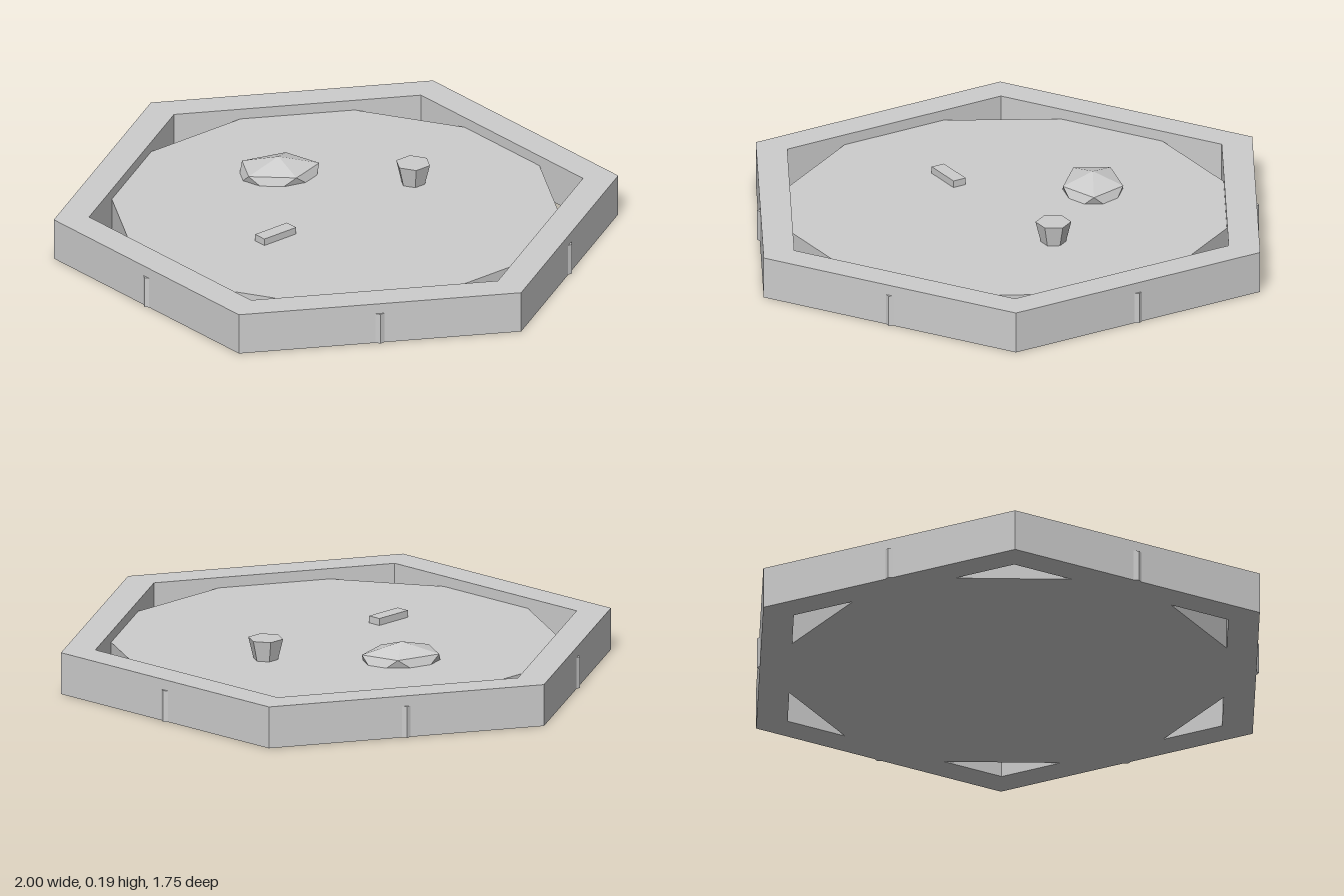
import * as THREE from 'three';

const WALL_HEIGHT = 0.15;
const FLOOR_HEIGHT = 0.1125;

// Closed hexagon path with corners on the x axis
function hexagon(PathType, radius) {
  const points = [];
  for (let i = 0; i < 6; i++) {
    const a = (i * Math.PI) / 3;
    points.push(new THREE.Vector2(radius * Math.cos(a), radius * Math.sin(a)));
  }
  return new PathType(points);
}

// Split shared corners so every face is flat
function faceted(geometry) {
  const flat = geometry.index ? geometry.toNonIndexed() : geometry;
  flat.computeVertexNormals();
  return flat;
}

export function createModel() {
  const model = new THREE.Group();
  model.name = 'hexagonalTray';
  const grey = new THREE.MeshStandardMaterial({ color: 0xcccccc });
  grey.name = 'lightGrey';

  const add = (name, geometry, x = 0, y = 0, z = 0) => {
    const mesh = new THREE.Mesh(faceted(geometry), grey);
    mesh.name = name;
    mesh.position.set(x, y, z);
    model.add(mesh);
    return mesh;
  };

  // Hexagonal rim wall
  const rimShape = hexagon(THREE.Shape, 1);
  rimShape.holes.push(hexagon(THREE.Path, 0.875));
  const rim = new THREE.ExtrudeGeometry(rimShape, { depth: WALL_HEIGHT, bevelEnabled: false });
  rim.rotateX(-Math.PI / 2);
  add('rimWall', rim);

  // Floor turned 30 degrees from the rim, its corners poking through the wall
  add('floor', new THREE.CylinderGeometry(0.875, 0.875, FLOOR_HEIGHT, 6), 0, FLOOR_HEIGHT / 2, 0);

  // Flattened rock, one corner upward, half sunk in the floor
  const rock = new THREE.IcosahedronGeometry(1, 0);
  rock.rotateX(-Math.atan((1 + Math.sqrt(5)) / 2));
  rock.rotateY(Math.PI / 2);
  rock.scale(0.162, 0.0675, 0.1235);
  add('rock', rock, -0.15, FLOOR_HEIGHT, -0.3);

  // Tapered six-sided cup
  add('cup', new THREE.CylinderGeometry(0.0625, 0.044, 0.075, 6), 0.3, FLOOR_HEIGHT + 0.0375, -0.15);

  // Small bar lying at an angle
  const bar = add('bar', new THREE.BoxGeometry(0.145, 0.025, 0.05), -0.25, FLOOR_HEIGHT + 0.0125, 0.2);
  bar.rotation.y = Math.PI / 6;

  return model;
}
